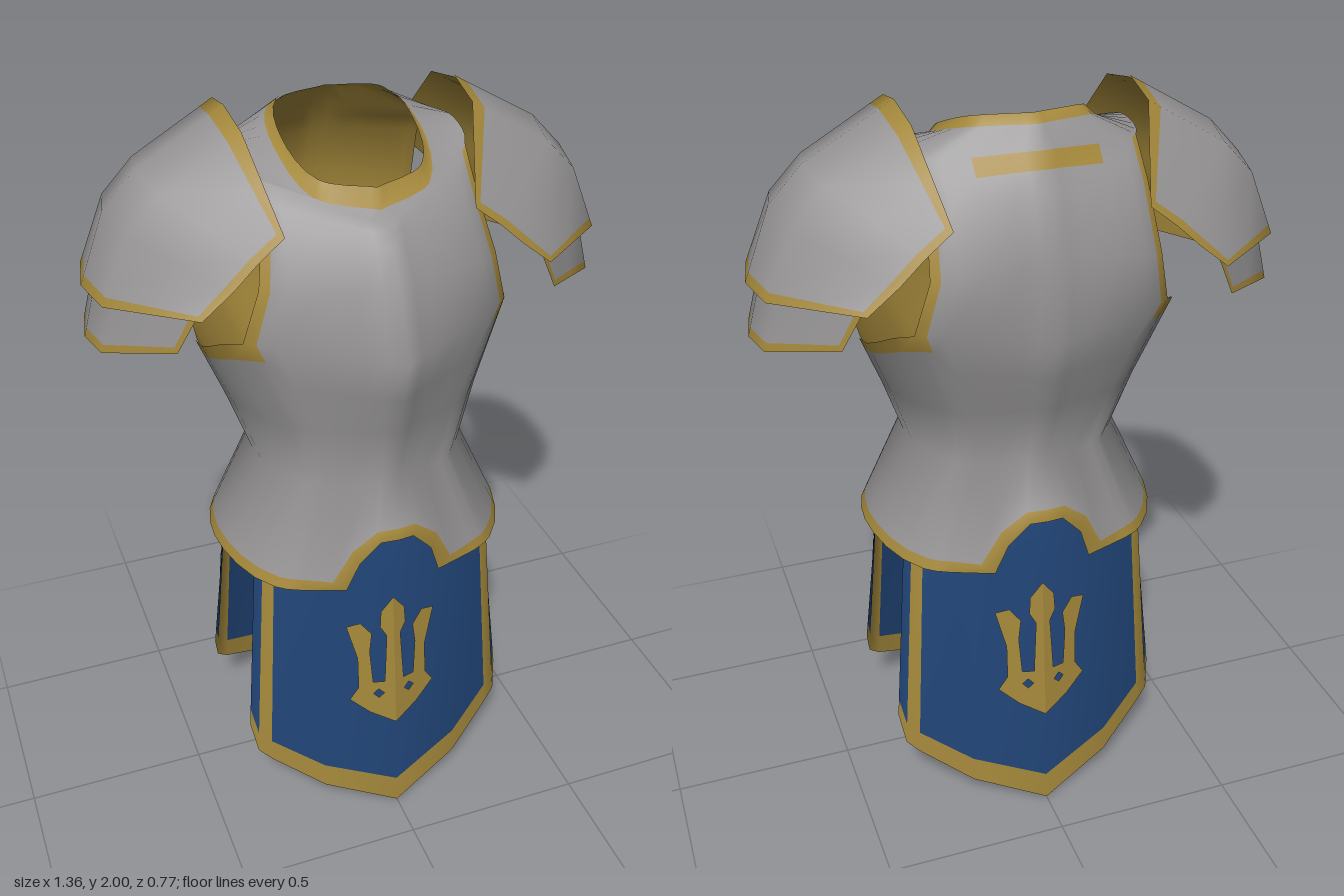
import * as THREE from 'three';

const V = (x, y, z) => new THREE.Vector3(x, y, z);

function material(name, color) {
  const m = new THREE.MeshStandardMaterial({ color });
  m.name = name;
  return m;
}

// Smooth sheet through a grid of points; paint(i, j) gives a cell's material index or -1 for a hole.
function sheet(name, rows, paint, mats, closed = false, inside = false) {
  const n = rows[0].length, cells = closed ? n : n - 1;
  const lists = mats.map(() => []);
  for (let i = 0; i < rows.length - 1; i++) {
    for (let j = 0; j < cells; j++) {
      const m = paint(i, j);
      if (m < 0) continue;
      const k = (j + 1) % n;
      const a = i * n + j, b = i * n + k, c = (i + 1) * n + k, d = (i + 1) * n + j;
      lists[m].push(...(inside ? [a, c, b, a, d, c] : [a, b, c, a, c, d]));
    }
  }
  const g = new THREE.BufferGeometry().setFromPoints(rows.flat());
  g.setIndex(lists.flat());
  let start = 0;
  lists.forEach((l, m) => { g.addGroup(start, l.length, m); start += l.length; });
  g.computeVertexNormals();
  if (inside) {
    const p = g.attributes.position, q = g.attributes.normal;
    for (let i = 0; i < p.count; i++) {
      p.setXYZ(i, p.getX(i) + q.getX(i) * 0.004, p.getY(i) + q.getY(i) * 0.004, p.getZ(i) + q.getZ(i) * 0.004);
    }
  }
  const mesh = new THREE.Mesh(g, mats);
  mesh.name = name;
  return mesh;
}

// Outer face plus lining
function shell(name, rows, paint, lining, mats, closed) {
  const group = new THREE.Group();
  group.name = name;
  group.add(sheet(name + 'Outside', rows, paint, mats, closed));
  group.add(sheet(name + 'Lining', rows, lining, mats, closed, true));
  return group;
}

const blend = (a, b, t) => a.map((p, i) => p.clone().lerp(b[i], t));

const STEEL = 0, GOLD = 1, BLUE = 2;

// Half sections: front centre, front of arm, side, back of arm, back centre
const SECTIONS = {
  hem: [[0, .80, .345], [.31, .80, .25], [.405, .82, 0], [.31, .80, -.25], [0, .80, -.345]],
  waist: [[0, 1.08, .285], [.2, 1.08, .205], [.285, 1.08, 0], [.2, 1.08, -.205], [0, 1.08, -.27]],
  ribs: [[0, 1.26, .33], [.24, 1.26, .21], [.345, 1.25, -.03], [.24, 1.26, -.25], [0, 1.26, -.33]],
  armBase: [[0, 1.48, .385], [.345, 1.5, .175], [.405, 1.4, -.06], [.325, 1.5, -.295], [0, 1.46, -.388]],
  chest: [[0, 1.66, .32], [.305, 1.64, .19], [.33, 1.62, -.05], [.29, 1.64, -.32], [0, 1.68, -.378]],
  collarbone: [[0, 1.735, .272], [.275, 1.78, .13], [.28, 1.8, -.05], [.275, 1.80, -.25], [0, 1.82, -.315]],
  shoulder: [[0, 1.775, .24], [.275, 1.87, .05], [.29, 1.9, -.06], [.275, 1.885, -.17], [0, 1.905, -.265]],
  neck: [[0, 1.845, .165], [.13, 1.865, .118], [.17, 1.92, -.03], [.14, 1.968, -.155], [0, 1.975, -.2]],
};

// Notch in the hem by column: edge x, edge y, trim x, trim y
const NOTCH = { 0: [0, .94, 0, .972], 0.5: [.045, .935, .052, .968], 1: [.1, .875, .118, .915], 2: [.132, .782, .168, .815] };

function breastplate(mats) {
  const half = [0, .5, 1, 2, 3, 3.55, 4, 5, 6, 7, 8, 9, 10, 11, 12, 12.45, 13, 14, 15, 15.5, 16];
  const cols = [...half, ...half.slice(1, -1).reverse()];
  const sign = j => (j < half.length ? 1 : -1);
  const ring = {};
  for (const [name, keys] of Object.entries(SECTIONS)) {
    const curve = new THREE.CatmullRomCurve3(keys.map(k => V(...k)), false, 'centripetal');
    ring[name] = cols.map((t, j) => {
      const p = curve.getPoint(t / 16);
      p.x *= sign(j);
      return p;
    });
  }
  // Hem trim follows the notches, front and back
  const hemTrim = blend(ring.hem, ring.waist, 0.1);
  cols.forEach((t, j) => {
    const notch = NOTCH[Math.min(t, 16 - t)];
    if (!notch) return;
    ring.hem[j].x = sign(j) * notch[0];
    ring.hem[j].y = notch[1];
    hemTrim[j].x = sign(j) * notch[2];
    hemTrim[j].y = notch[3];
  });
  // Trim under the armholes; elsewhere the row runs halfway down the ribs
  const armTrimRow = ring.armBase.map((p, j) =>
    p.clone().lerp(ring.ribs[j], Math.abs(cols[j] - 8) < 4.6 ? 0.2 : 0.5));
  // Neck band, deeper at the front
  const collar = ring.neck.map(p =>
    V(p.x * 1.12, p.y - 0.02 - Math.max(0, p.z) * 0.16, p.z + (p.z + 0.02) * 0.14));
  const rows = [
    ring.hem, hemTrim, ring.waist, ring.ribs, armTrimRow, ring.armBase, ring.chest, ring.collarbone,
    blend(ring.shoulder, ring.collarbone, 0.45), ring.shoulder, collar, ring.neck,
  ];
  const paint = (i, j) => {
    const t = (cols[j] + cols[(j + 1) % cols.length]) / 2;
    const arm = t > 4 && t < 12, armTrim = t > 3.55 && t < 12.45;
    if (i >= 5 && i <= 8 && arm) return -1;
    if (i === 0 || i === 10) return GOLD;
    if (i >= 4 && i <= 8 && armTrim) return GOLD;
    if (i === 8 && t > 14) return GOLD;
    return STEEL;
  };
  const lining = (i, j) => (paint(i, j) < 0 ? -1 : i === 1 ? STEEL : GOLD);
  return shell('breastplate', rows, paint, lining, mats, true);
}

// Arched shoulder plate; each section is [edge x, edge y, half depth, crown x, crown y]
function shoulderPlate(name, side, sections, innerTrim, mats) {
  const angles = [0, 63, 90, 117, 180];
  const rows = sections.map(([ex, ey, depth, cx, cy]) => {
    const arch = angles.map(deg => {
      const a = THREE.MathUtils.degToRad(deg), s = Math.sin(a);
      return V(side * (ex + (cx - ex) * s), ey + (cy - ey) * s, -0.075 - side * depth * Math.cos(a));
    });
    // Narrow trim cells and a midpoint on both end spans
    const [a, b, top, c, d] = arch;
    const between = (p, q, t) => p.clone().lerp(q, t);
    return [a, between(a, b, .08), between(a, b, .5), b, top, c, between(d, c, .5), between(d, c, .08), d];
  });
  if (innerTrim) rows.splice(1, 0, blend(rows[0], rows[1], 0.16));
  rows.splice(-1, 0, blend(rows.at(-1), rows.at(-2), 0.14));
  const paint = (i, j) =>
    j === 0 || j === 7 || i === rows.length - 2 || (innerTrim && i === 0) ? GOLD : STEEL;
  return shell(name, rows, paint, () => GOLD, mats);
}

function pauldron(side, mats) {
  const g = new THREE.Group();
  g.name = side > 0 ? 'leftPauldron' : 'rightPauldron';
  g.add(shoulderPlate('upperPlate', side, [
    [.24, 1.77, .275, .295, 2.0], [.31, 1.715, .28, .52, 1.87],
    [.37, 1.66, .285, .605, 1.78], [.45, 1.595, .285, .675, 1.595],
  ], true, mats));
  g.add(shoulderPlate('lowerPlate', side, [
    [.44, 1.61, .25, .635, 1.62], [.50, 1.49, .225, .68, 1.455],
  ], false, mats));
  return g;
}

// Hanging cloth panel with gold border and folded-back sides
function clothPanel(name, mats) {
  const mirrored = pts => [...pts.slice(1).reverse().map(([x, y, z]) => V(-x, y, z)), ...pts.map(p => V(...p))];
  const top = mirrored([[0, .95, .28], [.15, .95, .235], [.22, .95, .18], [.24, .95, .155], [.245, .95, .125]]);
  const mid = mirrored([[0, .8, .30], [.19, .8, .26], [.3, .8, .204], [.327, .8, .188], [.337, .8, .147]]);
  const low = mirrored([[0, .005, .375], [.2, .08, .315], [.337, .16, .236], [.37, .19, .22], [.383, .27, .19]]);
  const rows = [low, blend(low, mid, 0.1), mid, top];
  const paint = (i, j) => (i === 0 || j === 1 || j === 6 ? GOLD : BLUE);
  const g = shell(name, rows, paint, paint, mats);

  // Trident ornament, one half per side of the centre fold
  const outline = [[0, .30], [.07, .34], [.125, .39], [.1, .43], [.1, .53], [.128, .64], [.09, .648], [.06, .61],
    [.067, .55], [.06, .445], [.028, .445], [.02, .6], [.037, .63], [.034, .68], [0, .725]];
  const hole = [[.03, .405], [.045, .42], [.06, .405], [.045, .39]];
  for (const s of [1, -1]) {
    const pts = list => list.map(([x, y]) => new THREE.Vector2(s * x, y));
    const shape = new THREE.Shape(pts(outline));
    shape.holes.push(new THREE.Path(pts(hole)));
    const geo = new THREE.ShapeGeometry(shape), p = geo.attributes.position;
    for (let i = 0; i < p.count; i++) {
      const k = (0.8 - p.getY(i)) / 0.79;
      p.setZ(i, 0.307 + 0.075 * k - Math.abs(p.getX(i)) * (0.21 + 0.09 * k));
    }
    geo.computeVertexNormals();
    const mesh = new THREE.Mesh(geo, mats[GOLD]);
    mesh.name = s > 0 ? 'ornamentLeft' : 'ornamentRight';
    g.add(mesh);
  }
  return g;
}

export function createModel() {
  const mats = [material('steel', 0x969494), material('gold', 0xa3873a), material('blue cloth', 0x204476)];
  const model = new THREE.Group();
  model.name = 'armour';
  model.add(breastplate(mats), pauldron(1, mats), pauldron(-1, mats));
  const back = clothPanel('backCloth', mats);
  back.rotation.y = Math.PI;
  model.add(clothPanel('frontCloth', mats), back);
  return model;
}
